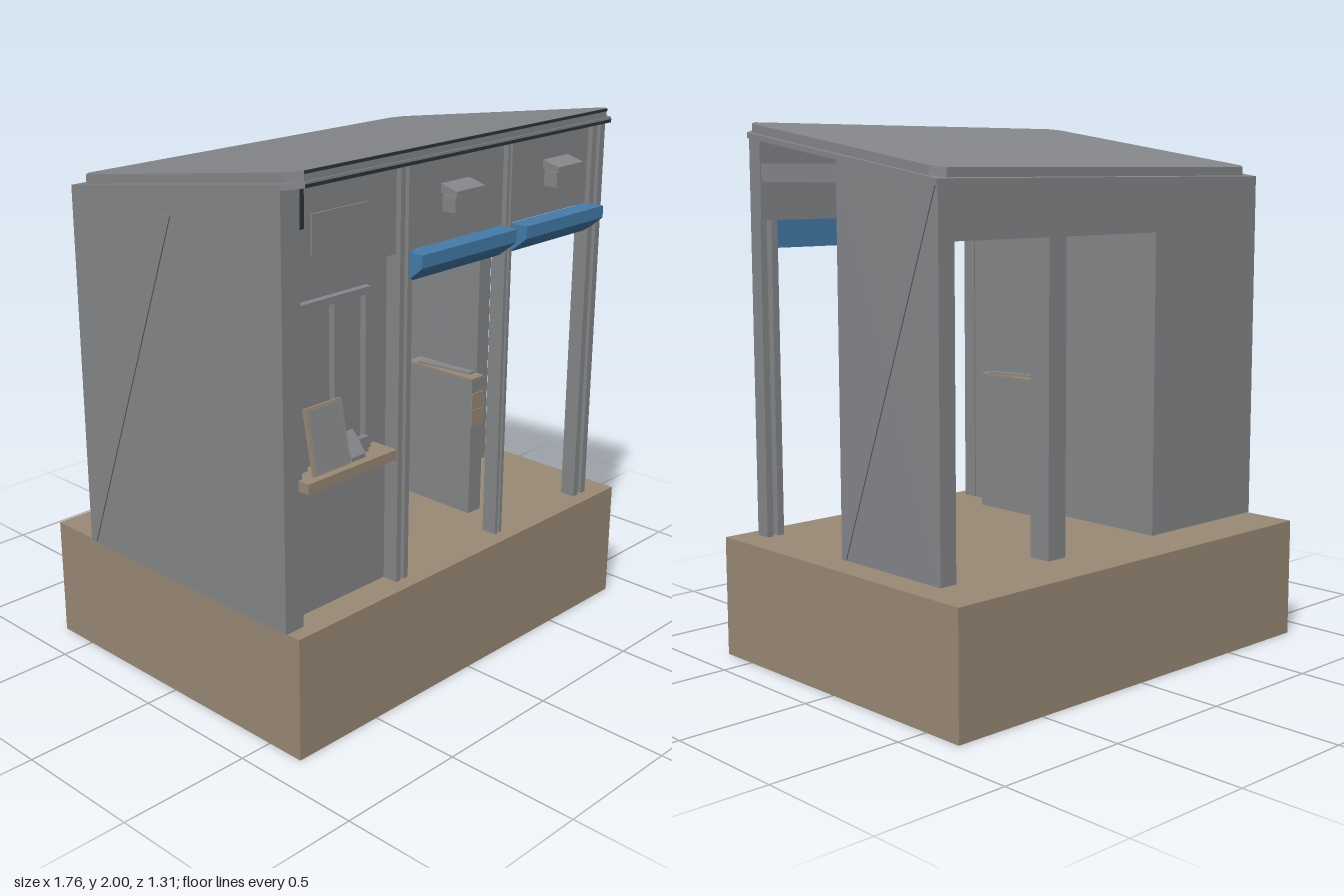
import * as THREE from 'three';

const mat = (name, color) => {
  const m = new THREE.MeshStandardMaterial({ color });
  m.name = name;
  return m;
};

export function createModel() {
  const root = new THREE.Group();
  root.name = 'ticketGate';
  const grey = mat('wallGrey', 0x85878a);
  const tan = mat('baseTan', 0x9a8a76);
  const blue = mat('awningBlue', 0x447cab);
  const dark = mat('trimDark', 0x303437);

  const SLOPE = 0.153;
  const wallTop = z => 1.848 + SLOPE * z; // underside of the roof

  const add = (name, geo, material) => {
    const m = new THREE.Mesh(geo, material);
    m.name = name;
    root.add(m);
    return m;
  };
  // box from its limits
  const box = (name, material, x0, x1, y0, y1, z0, z1) => {
    const g = new THREE.BoxGeometry(x1 - x0, y1 - y0, z1 - z0);
    g.translate((x0 + x1) / 2, (y0 + y1) / 2, (z0 + z1) / 2);
    return add(name, g, material);
  };
  // side profile of [z, y] points, extruded across x
  const profile = (name, material, x0, x1, pts) => {
    const s = new THREE.Shape(pts.map(p => new THREE.Vector2(p[0], p[1])));
    const g = new THREE.ExtrudeGeometry(s, { depth: x1 - x0, bevelEnabled: false });
    g.rotateY(-Math.PI / 2).translate(x1, 0, 0);
    return add(name, g, material);
  };
  // wall that rises to the sloping roof
  const wall = (name, x0, x1, y0, z0, z1) =>
    profile(name, grey, x0, x1, [[z0, y0], [z1, y0], [z1, wallTop(z1)], [z0, wallTop(z0)]]);
  // sloping slab with chamfered front corners and optional back chamfers
  const slab = (name, x0, x1, z0, z1, cf, cb, y, t) => {
    const pts = [
      [x0 + cf, z1], [x1 - cf, z1], [x1, z1 - cf], [x1, z0 + cb],
      ...(cb ? [[x1 - cb, z0], [x0 + cb, z0]] : [[x0, z0]]),
      ...(cb ? [[x0, z0 + cb]] : []), [x0, z1 - cf],
    ];
    if (!cb) pts[3] = [x1, z0];
    const s = new THREE.Shape(pts.map(p => new THREE.Vector2(p[0], -p[1])));
    const g = new THREE.ExtrudeGeometry(s, { depth: t, bevelEnabled: false });
    g.rotateX(-Math.PI / 2);
    const p = g.attributes.position;
    for (let i = 0; i < p.count; i++) p.setY(i, p.getY(i) + y + SLOPE * p.getZ(i));
    g.computeVertexNormals();
    return add(name, g, grey);
  };

  const F = 0.455; // floor level
  box('base', tan, -0.873, 0.88, 0, F, -0.66, 0.65);

  // roof: wide tray with a raised inset sheet
  slab('roofTray', -0.88, 0.775, -0.45, 0.65, 0.05, 0, 1.846, 0.02);
  slab('roofSheet', -0.86, 0.755, -0.43, 0.637, 0.04, 0.04, 1.866, 0.033);
  // dark edges along the front of the roof
  box('roofEdgeLower', dark, -0.83, 0.725, 1.946, 1.957, 0.645, 0.652);
  box('roofEdgeUpper', dark, -0.82, 0.715, 1.986, 1.996, 0.634, 0.64);

  // booth and its front frame
  wall('booth', -0.88, -0.29, F, -0.45, 0.535);
  wall('boothCorner', -0.88, -0.8, F, 0.53, 0.595);
  wall('boothSideStrip', -0.785, -0.77, F, 0.53, 0.56);
  box('cornerGap', dark, -0.8, -0.77, 1.8, 1.925, 0.575, 0.583);
  wall('frontHeader', -0.8, 0.77, 1.64, 0.53, 0.575);

  // paired thin strips form the front posts
  for (const [a, b] of [[-0.345, -0.285], [0.203, 0.24], [0.695, 0.77]]) {
    const w = (b - a) * 0.36;
    wall('frontPostStrip', a, a + w, F, 0.535, 0.595);
    wall('frontPostStrip', b - w, b, F, 0.535, 0.595);
    wall('frontPostWeb', a + w, b - w, 1.64, 0.535, 0.58);
  }

  // sign panel and window on the booth front
  box('signPanel', grey, -0.735, -0.48, 1.71, 1.84, 0.574, 0.582);
  box('windowFrameTop', grey, -0.77, -0.445, 1.525, 1.55, 0.53, 0.56);
  for (const [a, b] of [[-0.77, -0.74], [-0.615, -0.595], [-0.47, -0.445]])
    box('windowUpright', grey, a, b, 0.985, 1.525, 0.53, 0.56);

  // counter with display board and small desk device
  box('counter', tan, -0.815, -0.4, 0.948, 0.985, 0.53, 0.64);
  const board = new THREE.Group();
  board.name = 'displayBoard';
  const back = new THREE.Mesh(new THREE.BoxGeometry(0.165, 0.225, 0.014), tan);
  back.name = 'boardBack';
  const face = new THREE.Mesh(new THREE.BoxGeometry(0.15, 0.21, 0.006), grey);
  face.name = 'boardFace';
  face.position.z = 0.009;
  board.add(back, face);
  board.position.set(-0.682, 1.097, 0.59);
  board.rotation.x = -0.2;
  root.add(board);
  profile('deskDevice', grey, -0.585, -0.52, [[0.55, 0.985], [0.61, 0.985], [0.61, 1.0], [0.55, 1.07]]);
  box('deviceStand', grey, -0.515, -0.475, 0.985, 1.04, 0.56, 0.58);

  // right side wall, roof rail and rear frame
  wall('rightWall', 0.7, 0.77, F, -0.45, 0.08);
  box('sideRail', grey, 0.72, 0.765, 1.78, 1.845, 0.08, 0.535);
  wall('rearHeader', -0.29, 0.7, 1.595, -0.45, -0.36);
  box('rearPost', grey, 0.18, 0.265, F, 1.6, -0.45, -0.36);

  // diagonal braces on the outer and inner side walls
  const brace = (x, za, zb) =>
    profile('brace', grey, x - 0.004, x + 0.004,
      zb < za
        ? [[za, F + 0.005], [zb, 1.775], [zb + 0.025, 1.775], [za + 0.025, F + 0.005]].reverse()
        : [[za, F + 0.005], [za + 0.025, F + 0.005], [zb, 1.775], [zb - 0.025, 1.775]]);
  brace(0.771, 0.05, -0.44);
  brace(0.699, 0.05, -0.44);
  brace(-0.881, -0.44, 0.08);

  // awnings and lamps above the two lanes
  for (const [a, b] of [[-0.3, 0.193], [0.25, 0.705]])
    profile('awning', blue, a, b,
      [[0.577, 1.535], [0.622, 1.57], [0.652, 1.595], [0.652, 1.64], [0.577, 1.64]]);
  for (const x of [-0.053, 0.502]) {
    profile('lampHood', grey, x - 0.073, x + 0.073,
      [[0.57, 1.808], [0.645, 1.808], [0.645, 1.822], [0.57, 1.842]]);
    box('lampSlit', tan, x - 0.06, x + 0.06, 1.8, 1.808, 0.57, 0.636);
    box('lampBody', grey, x - 0.063, x + 0.063, 1.745, 1.8, 0.57, 0.632);
  }

  // gate cabinets
  for (const x of [-0.235, 0.315]) {
    box('gateCabinet', grey, x - 0.035, x + 0.035, F, 0.995, 0.08, 0.4);
    box('gateTop', tan, x - 0.035, x + 0.035, 0.995, 1.004, 0.08, 0.4);
    box('gatePanel', tan, x - 0.035, x + 0.035, 0.81, 0.877, 0.398, 0.404);
    box('gatePanel', tan, x - 0.035, x + 0.035, 0.882, 0.945, 0.398, 0.404);
    const flap = box('gateFlap', grey, -0.016, 0.016, 0, 0.008, -0.12, 0.12);
    flap.position.set(x, 1.004, 0.24);
    flap.rotation.y = 0.14;
  }
  return root;
}
